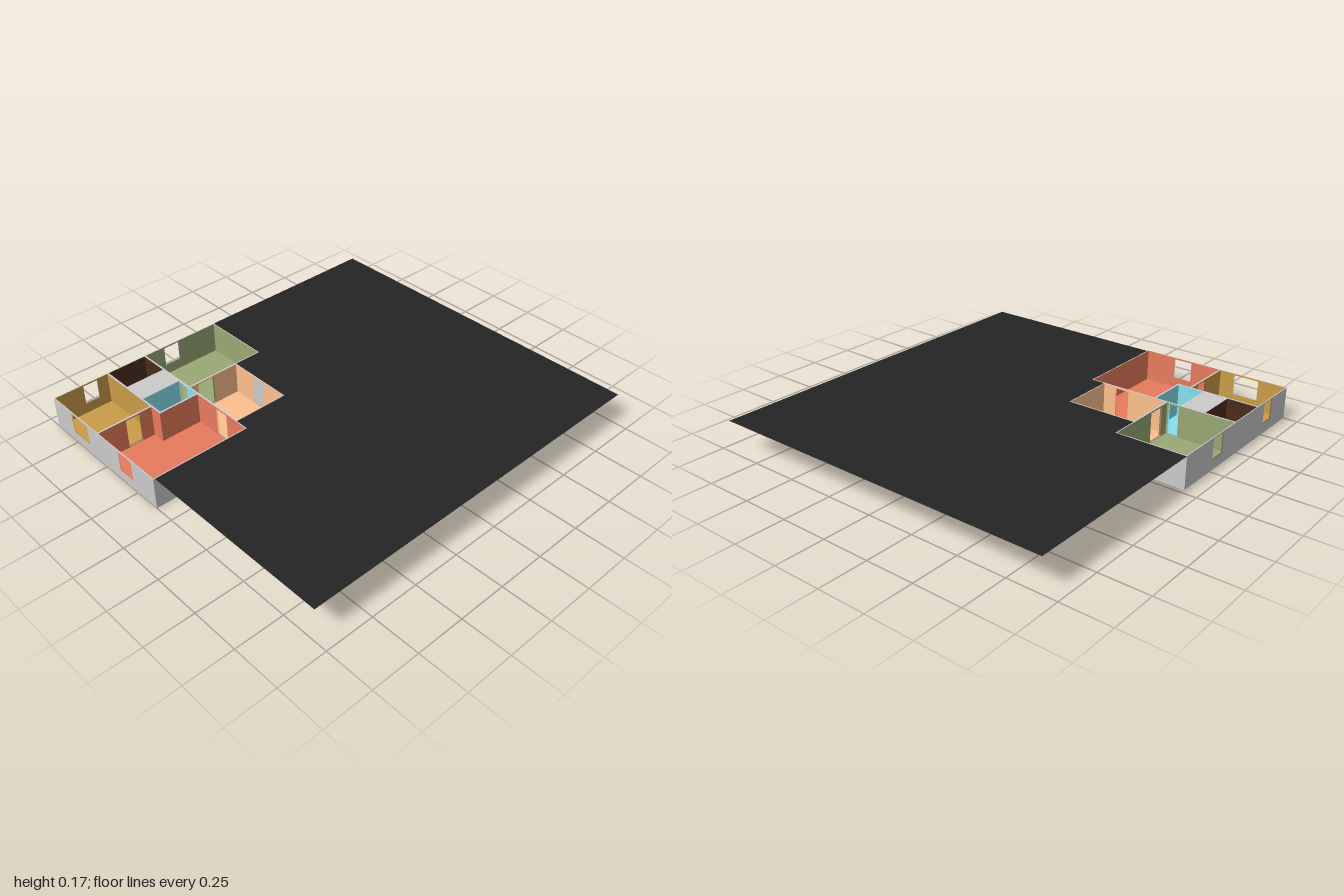
import * as THREE from 'three';

const H = 0.168;      // wall height
const T = 0.005;      // half wall thickness
const GREY = 0xcccccc;

// Plan coordinates are [x, z]; every outline runs with its inside on the same hand
const rect = (x0, z0, x1, z1) => [[x0, z0], [x1, z0], [x1, z1], [x0, z1]];

const X0 = -0.924, XM = -0.55, X1 = -0.107, ZM = 0.472, ZC = 0.695, ZF = 1;

const rooms = [
  { name: 'greenRoom', color: 0x9aa874, plan: rect(X0, 0.028, XM, ZM) },
  { name: 'peachRoom', color: 0xffc08d, plan: rect(XM, 0.178, -0.18, ZM) },
  { name: 'redRoom', color: 0xe87b5d,
    plan: [[XM, ZC], [-0.48, ZC], [-0.48, ZM], [X1, ZM], [X1, ZF], [XM, ZF]] },
  { name: 'brownRoom', color: 0x4a2c1c, plan: rect(X0, ZM, -0.755, ZC) },
  { name: 'blueRoom', color: 0x86e0ec, plan: rect(-0.63, ZM, -0.48, ZC) },
  { name: 'ochreRoom', color: 0xcb9c48, plan: rect(X0, ZC, XM, ZF) },
];

const outline = [[X0, 0.028], [XM, 0.028], [XM, 0.178], [-0.18, 0.178],
  [-0.18, ZM], [X1, ZM], [X1, ZF], [X0, ZF]];

// Openings: axis the wall lies across (0: x = at, 1: z = at), span along it, heights
const SILL = 0.055, HEAD = 0.16, FOOT = 0.003;
const openings = [
  { axis: 1, at: ZF, from: -0.77, to: -0.635, low: SILL },
  { axis: 1, at: ZF, from: -0.38, to: -0.28, low: SILL },
  { axis: 0, at: X0, from: 0.76, to: 0.84, low: SILL },
  { axis: 0, at: X0, from: 0.265, to: 0.355, low: SILL },
  { axis: 0, at: XM, from: 0.325, to: 0.42, low: FOOT },
  { axis: 1, at: ZM, from: -0.33, to: -0.255, low: FOOT },
  { axis: 0, at: XM, from: 0.765, to: 0.845, low: FOOT },
  { axis: 1, at: ZM, from: -0.62, to: -0.565, low: FOOT },
  // closed entrance door, recessed on the room side only
  { axis: 1, at: 0.178, from: -0.41, to: -0.335, low: FOOT, insideOnly: true },
];

const material = (color) => new THREE.MeshStandardMaterial({ color, side: THREE.DoubleSide });

function mesh(name, geometry, mat) {
  const m = new THREE.Mesh(geometry, mat);
  m.name = name;
  return m;
}

const points = (plan) => plan.map(([x, z]) => new THREE.Vector2(x, -z));

// Flat horizontal sheet, optionally with a hole
function sheet(name, plan, y, mat, hole) {
  const shape = new THREE.Shape(points(plan));
  if (hole) shape.holes.push(new THREE.Path(points(hole)));
  const g = new THREE.ShapeGeometry(shape).rotateX(-Math.PI / 2).translate(0, y, 0);
  return mesh(name, g, mat);
}

// Moves a right-angled outline inwards by d
function inset(plan, d) {
  const n = plan.length;
  const normal = (i) => {
    const a = plan[i % n], b = plan[(i + 1) % n];
    return [-Math.sign(b[1] - a[1]), Math.sign(b[0] - a[0])];
  };
  return plan.map(([x, z], i) => {
    const p = normal(i + n - 1), q = normal(i);
    return [x + d * (p[0] + q[0]), z + d * (p[1] + q[1])];
  });
}

// Upright panels along a plan, shifted inwards by d and pierced by its openings
function walls(name, plan, d, mat, inside) {
  const group = new THREE.Group();
  group.name = name;
  const moved = inset(plan, d);
  plan.forEach((a, i) => {
    const j = (i + 1) % plan.length, b = plan[j];
    const p = moved[i], q = moved[j];
    const across = Math.abs(a[0] - b[0]) < 1e-6 ? 0 : 1;
    const along = 1 - across;
    const length = Math.hypot(q[0] - p[0], q[1] - p[1]);
    const shape = new THREE.Shape();
    shape.moveTo(0, 0).lineTo(length, 0).lineTo(length, H).lineTo(0, H).closePath();
    for (const o of openings) {
      if (o.axis !== across || Math.abs(o.at - a[across]) > 1e-6) continue;
      if (o.insideOnly && !inside) continue;
      if (o.from < Math.min(a[along], b[along]) || o.to > Math.max(a[along], b[along])) continue;
      const s = [Math.abs(o.from - p[along]), Math.abs(o.to - p[along])].sort((u, v) => u - v);
      const hole = new THREE.Path();
      hole.moveTo(s[0], o.low).lineTo(s[0], HEAD).lineTo(s[1], HEAD).lineTo(s[1], o.low).closePath();
      shape.holes.push(hole);
    }
    const panel = mesh('wallPanel', new THREE.ShapeGeometry(shape), mat);
    panel.position.set(p[0], 0, p[1]);
    panel.rotation.y = Math.atan2(-(q[1] - p[1]), q[0] - p[0]);
    group.add(panel);
  });
  return group;
}

export function createModel() {
  const model = new THREE.Group();
  model.name = 'apartment';
  const grey = material(GREY);

  // Rooms: floor, coloured inner walls and grey wall tops
  for (const room of rooms) {
    const group = new THREE.Group();
    group.name = room.name;
    const mat = material(room.color);
    const inner = inset(room.plan, T);
    group.add(
      sheet('floor', inner, 0.001, mat),
      walls('innerWalls', room.plan, T, mat, true),
      sheet('wallTop', room.plan, H, grey, inner),
    );
    model.add(group);
  }

  // Closed shaft between the small rooms
  model.add(sheet('shaftTop', rect(-0.755, ZM, -0.63, ZC), H, grey));

  // Grey outer shell
  model.add(walls('outerWalls', outline, 0, grey, false));

  // Dark surround level with the wall tops, cut out around the rooms
  const surround = [[X0, -1], [0.924, -1], [0.924, 0.99], [X1, 0.99],
    ...outline.slice(0, 6).reverse()];
  model.add(sheet('surround', surround, H - 0.001, material(0x242424)));

  return model;
}
